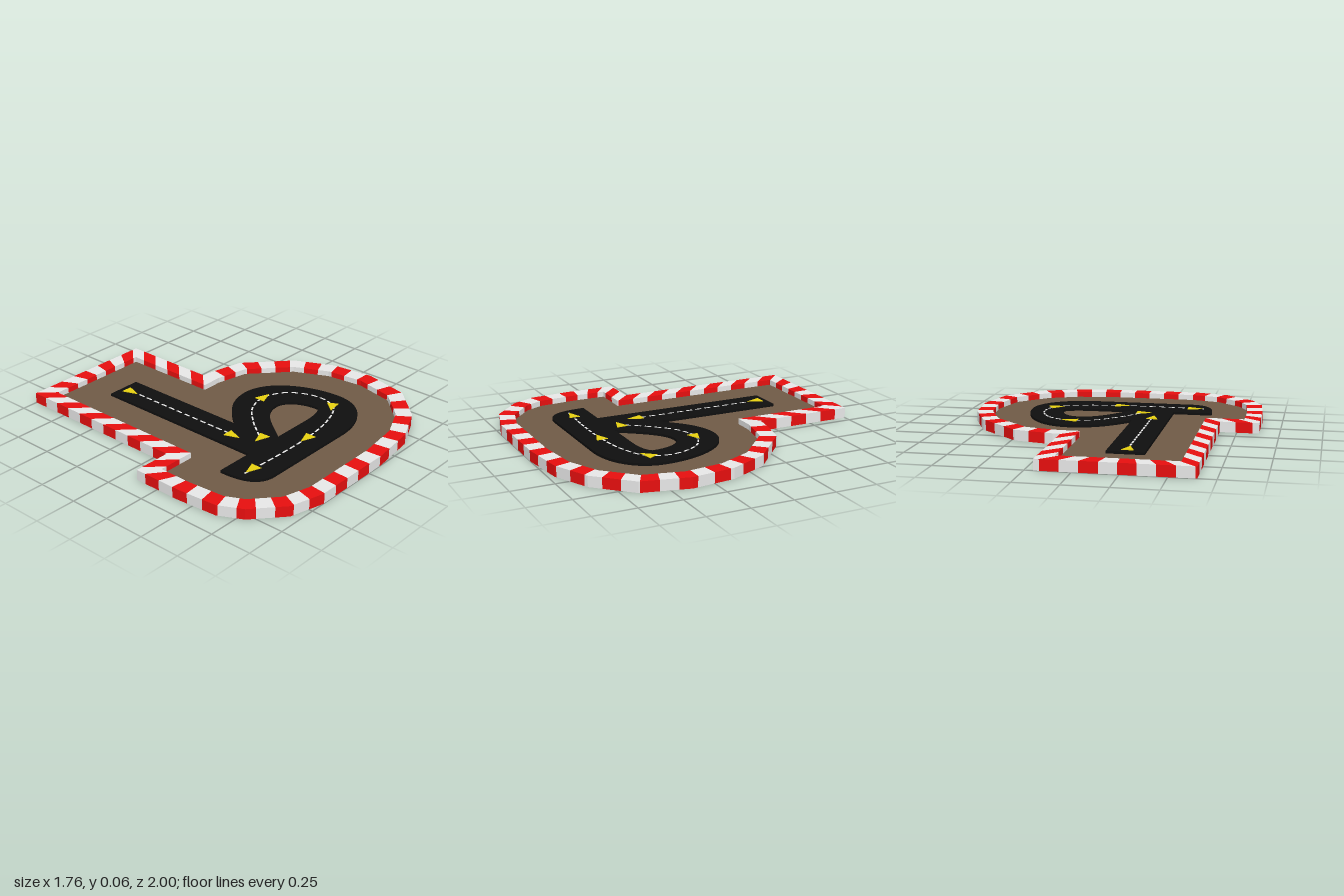
import * as THREE from 'three';

const mat = (name, color, extra = {}) => {
  const m = new THREE.MeshStandardMaterial({ color, ...extra });
  m.name = name;
  return m;
};

const RIM_HEIGHT = 0.063, RIM_WIDTH = 0.094, FLOOR_Y = 0.03, TRACK_Y = 0.045;

// Outer edge of the board as [x, z], anticlockwise seen from above
const OUTLINE = [
  [0, 1], [0.115, 1], [0.4, 0.965], [0.62, 0.865], [0.815, 0.665], [0.88, 0.385],
  [0.85, 0.125], [0.74, -0.11], [0.48, -0.35], [0.245, -0.4], [0.2, -0.4], [0.2, -1],
  [-0.65, -1], [-0.65, 0.1], [-0.88, 0.1], [-0.88, 0.4], [-0.86, 0.65],
  [-0.79, 0.79], [-0.615, 0.945], [-0.41, 1],
].map(([x, z]) => new THREE.Vector2(x, z));

// Mitred inward offset of a closed outline
function inset(points, width) {
  const n = points.length;
  const normal = (a, b) => {
    const d = b.clone().sub(a).normalize();
    return new THREE.Vector2(d.y, -d.x);
  };
  return points.map((p, i) => {
    const a = normal(points[(i + n - 1) % n], p);
    const b = normal(p, points[(i + 1) % n]);
    return p.clone().addScaledVector(a.clone().add(b), width / (1 + a.dot(b)));
  });
}

// Lay an x/z shape flat, with its upper face at the given height
function slab(shape, top, depth) {
  const g = new THREE.ExtrudeGeometry(shape, { depth, bevelEnabled: false, curveSegments: 16 });
  return g.rotateX(Math.PI / 2).translate(0, top, 0);
}

// Striped kerb: each straight run is cut wherever the colour changes
function kerbGeometries(outer, inner) {
  const n = outer.length;
  const lengths = outer.map((p, i) => p.distanceTo(outer[(i + 1) % n]));
  const total = lengths.reduce((a, b) => a + b, 0);
  const cuts = [];
  for (let i = 0; i < 32; i++) cuts.push(i * 0.1035);
  for (let i = 0; i < 34; i++) cuts.push(3.312 + (total - 3.312) * i / 34);

  const positions = [[], []];
  const quad = (out, a, b, c, d) => {
    for (const p of [a, b, c, a, c, d]) out.push(...p);
  };
  let start = 0;
  for (let i = 0; i < n; i++) {
    const end = start + lengths[i], j = (i + 1) % n;
    const stops = [start, ...cuts.filter(c => c > start + 1e-5 && c < end - 1e-5), end];
    for (let k = 0; k + 1 < stops.length; k++) {
      const middle = (stops[k] + stops[k + 1]) / 2;
      const stripe = cuts.filter(c => c <= middle).length - 1;
      const out = positions[stripe % 2];
      const at = (loop, s, y) => {
        const p = loop[i].clone().lerp(loop[j], (s - start) / lengths[i]);
        return [p.x, y, p.y];
      };
      const [o1, o2, i1, i2] = [[outer, 0], [outer, 1], [inner, 0], [inner, 1]]
        .map(([loop, e]) => [0, RIM_HEIGHT].map(y => at(loop, stops[k + e], y)));
      quad(out, o1[1], o2[1], i2[1], i1[1]);
      quad(out, o1[0], i1[0], i2[0], o2[0]);
      quad(out, o1[0], o2[0], o2[1], o1[1]);
      quad(out, i2[0], i1[0], i1[1], i2[1]);
    }
    start = end;
  }
  return positions.map(p => {
    const g = new THREE.BufferGeometry();
    g.setAttribute('position', new THREE.Float32BufferAttribute(p, 3));
    g.computeVertexNormals();
    return g;
  });
}

// Road: a straight lane joining a foot and a loop
function roadShape() {
  const s = new THREE.Shape();
  s.moveTo(-0.33, -0.68);
  s.lineTo(-0.117, -0.68);
  s.lineTo(-0.117, 0.13);
  s.bezierCurveTo(-0.02, 0.01, 0.08, -0.08, 0.23, -0.08);
  s.bezierCurveTo(0.42, -0.08, 0.56, 0.15, 0.56, 0.38);
  s.bezierCurveTo(0.56, 0.56, 0.4, 0.67, 0.2, 0.67);
  s.lineTo(-0.42, 0.67);
  s.bezierCurveTo(-0.52, 0.66, -0.565, 0.58, -0.565, 0.42);
  s.lineTo(-0.33, 0.42);
  s.closePath();
  const hole = new THREE.Path();
  hole.moveTo(-0.07, 0.42);
  hole.bezierCurveTo(0.02, 0.3, 0.1, 0.17, 0.22, 0.17);
  hole.bezierCurveTo(0.31, 0.17, 0.36, 0.28, 0.355, 0.375);
  hole.bezierCurveTo(0.32, 0.41, 0.26, 0.42, 0.17, 0.42);
  hole.closePath();
  s.holes.push(hole);
  return s;
}

export function createModel() {
  const model = new THREE.Group();
  const red = mat('kerb red', 0xe70f0f);
  const white = mat('kerb white', 0xe7e7e7);
  const brown = mat('earth brown', 0x705a46);
  const black = mat('asphalt black', 0x0f0f0f);
  const yellow = mat('arrow yellow', 0xe7d010);

  const add = (parent, name, geometry, material) => {
    const mesh = new THREE.Mesh(geometry, material);
    mesh.name = name;
    parent.add(mesh);
    return mesh;
  };

  // Kerb and recessed ground
  const inner = inset(OUTLINE, RIM_WIDTH);
  const [whiteKerb, redKerb] = kerbGeometries(OUTLINE, inner);
  add(model, 'whiteKerbStripes', whiteKerb, white);
  add(model, 'redKerbStripes', redKerb, red);
  add(model, 'ground', slab(new THREE.Shape(inner), FLOOR_Y, 0.002), brown);
  add(model, 'road', slab(roadShape(), TRACK_Y, TRACK_Y - FLOOR_Y), black);

  // Dashed centre lines
  const lines = new THREE.Group();
  lines.name = 'centreLines';
  model.add(lines);
  const paths = [
    [[-0.226, -0.55], [-0.226, 0.2]],
    [[-0.14, 0.34], [-0.03, 0.2], [0.1, 0.085], [0.245, 0.05], [0.38, 0.11], [0.455, 0.24],
      [0.46, 0.36], [0.41, 0.45], [0.25, 0.52], [0.03, 0.552], [-0.2, 0.555], [-0.515, 0.54]],
  ];
  for (const path of paths) {
    const curve = new THREE.CatmullRomCurve3(path.map(([x, z]) => new THREE.Vector3(x, TRACK_Y + 0.001, z)));
    const count = Math.round(curve.getLength() / 0.062);
    for (let i = 0; i < count; i++) {
      const u = (i + 0.5) / count, t = curve.getTangentAt(u);
      const dash = add(lines, 'dash', new THREE.BoxGeometry(0.04, 0.002, 0.01), white);
      dash.position.copy(curve.getPointAt(u));
      dash.rotation.y = Math.atan2(-t.z, t.x);
    }
  }

  // Direction arrows: tip x, tip z, heading in degrees from +x towards +z
  const arrowShape = new THREE.Shape([[0, 0], [-0.092, 0.034], [-0.092, -0.034]]
    .map(([x, z]) => new THREE.Vector2(x, z)));
  const arrowGeometry = slab(arrowShape, 0.004, 0.004);
  const arrows = [
    [-0.23, -0.555, 90], [-0.23, 0.267, 90], [-0.2, 0.357, 178], [0.295, 0.05, 0],
    [0.375, 0.458, 150], [-0.03, 0.552, 180], [-0.495, 0.54, 180],
  ];
  for (const [x, z, heading] of arrows) {
    const arrow = add(model, 'directionArrow', arrowGeometry, yellow);
    arrow.position.set(x, TRACK_Y, z);
    arrow.rotation.y = -THREE.MathUtils.degToRad(heading);
  }
  return model;
}
